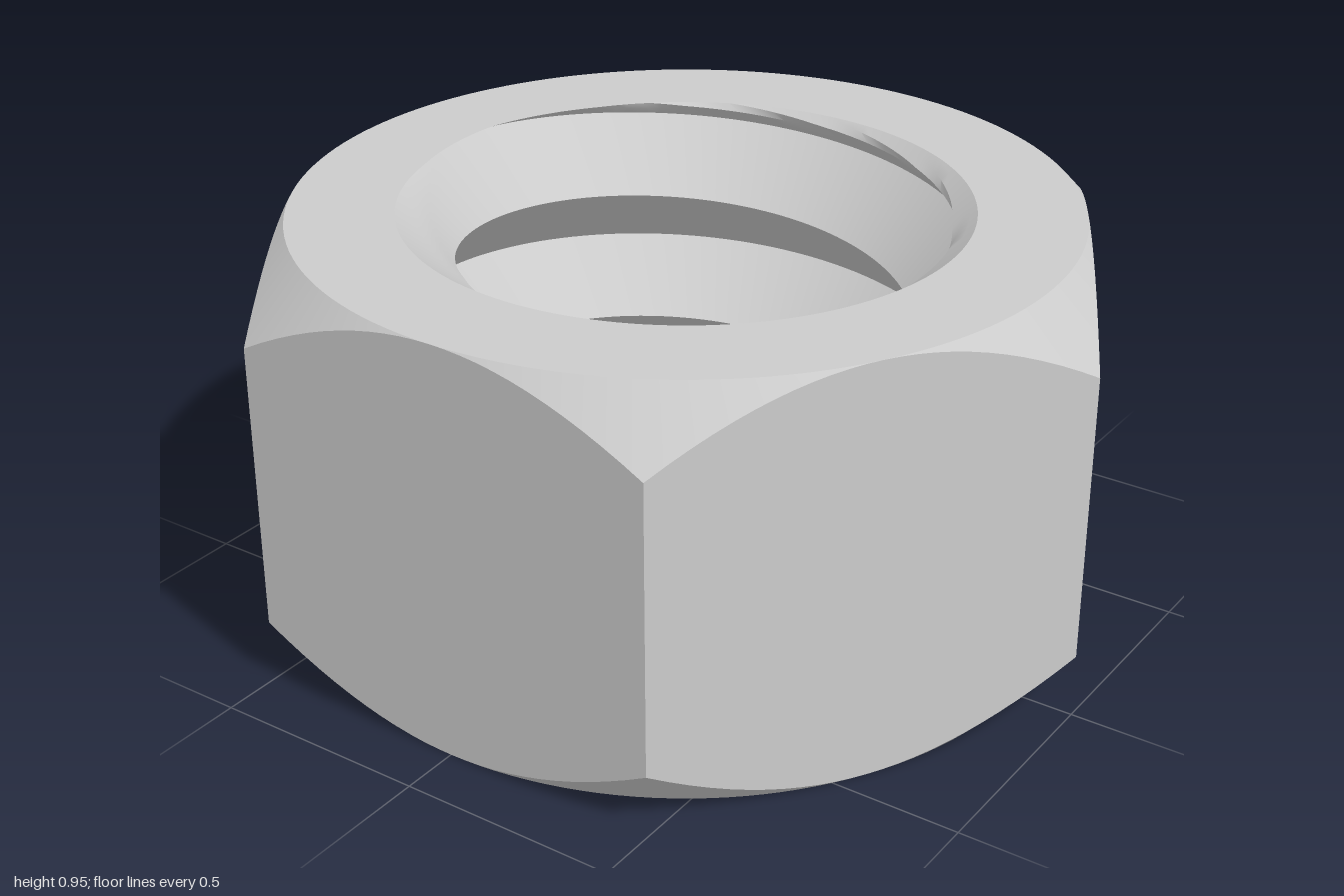
import * as THREE from 'three';
import { toCreasedNormals } from 'three/addons/utils/BufferGeometryUtils.js';

const H = 0.95;            // height
const FLAT = Math.sqrt(3) / 2; // centre to flat
const PITCH = H / 3;
const ROOT = 0.65, CREST = 0.505;
const COLS = 144;

// Height of the thread root at angle a (right-handed helix)
const rootY = a => H + 0.01 - PITCH * (a - Math.PI) / (2 * Math.PI);

// Bore radius: V thread cut by a countersink at both ends
function boreRadius(a, y) {
  const t = (y - rootY(a)) / PITCH;
  const f = t - Math.floor(t);
  const thread = ROOT - (ROOT - CREST) * 2 * Math.min(f, 1 - f);
  return Math.max(thread, 0.63 - 1.26 * Math.min(y, H - y));
}

// Distance from the axis to the hexagon at angle a
function hexRadius(a) {
  const s = Math.PI / 3;
  return FLAT / Math.cos(a - (Math.floor(a / s + 1e-9) + 0.5) * s);
}

// Sweep a profile [r, y][] that may change with angle around the y axis
function sweep(name, profile, material) {
  const cols = [];
  for (let i = 0; i <= COLS; i++) {
    const a = i / COLS * Math.PI * 2;
    cols.push(profile(a).map(([r, y]) => new THREE.Vector3(r * Math.cos(a), y, r * Math.sin(a))));
  }
  const pos = [];
  const tri = (a, b, c) => {
    if (new THREE.Triangle(a, b, c).getArea() > 1e-8) for (const p of [a, b, c]) pos.push(p.x, p.y, p.z);
  };
  for (let i = 0; i < COLS; i++) {
    for (let j = 0; j < cols[i].length - 1; j++) {
      const a = cols[i][j], b = cols[i][j + 1], c = cols[i + 1][j + 1], d = cols[i + 1][j];
      tri(a, b, c);
      tri(a, c, d);
    }
  }
  const geo = new THREE.BufferGeometry();
  geo.setAttribute('position', new THREE.Float32BufferAttribute(pos, 3));
  const mesh = new THREE.Mesh(toCreasedNormals(geo, 0.5), material);
  mesh.name = name;
  return mesh;
}

export function createModel() {
  const group = new THREE.Group();
  group.name = 'hexNut';
  const grey = new THREE.MeshStandardMaterial({ color: 0xcccccc });

  // Hexagonal sides with conical corner chamfers
  group.add(sweep('hexBody', a => {
    const r = hexRadius(a), c = (r - FLAT) * 1.09;
    return [[FLAT, 0], [r, c], [r, H - c], [FLAT, H]];
  }, grey));

  // Flat ring faces
  group.add(sweep('topFace', a => [[FLAT, H], [boreRadius(a, H), H]], grey));
  group.add(sweep('bottomFace', a => [[boreRadius(a, 0), 0], [FLAT, 0]], grey));

  // Threaded bore, with rows that follow the helix and stop at the faces
  const perTurn = 20;
  group.add(sweep('threadedBore', a => {
    const rows = [];
    for (let j = 0; j <= 5 * perTurn; j++) {
      const y = THREE.MathUtils.clamp(rootY(a) + PITCH * (1 - j / perTurn), 0, H);
      rows.push([boreRadius(a, y), y]);
    }
    return rows;
  }, grey));

  return group;
}
